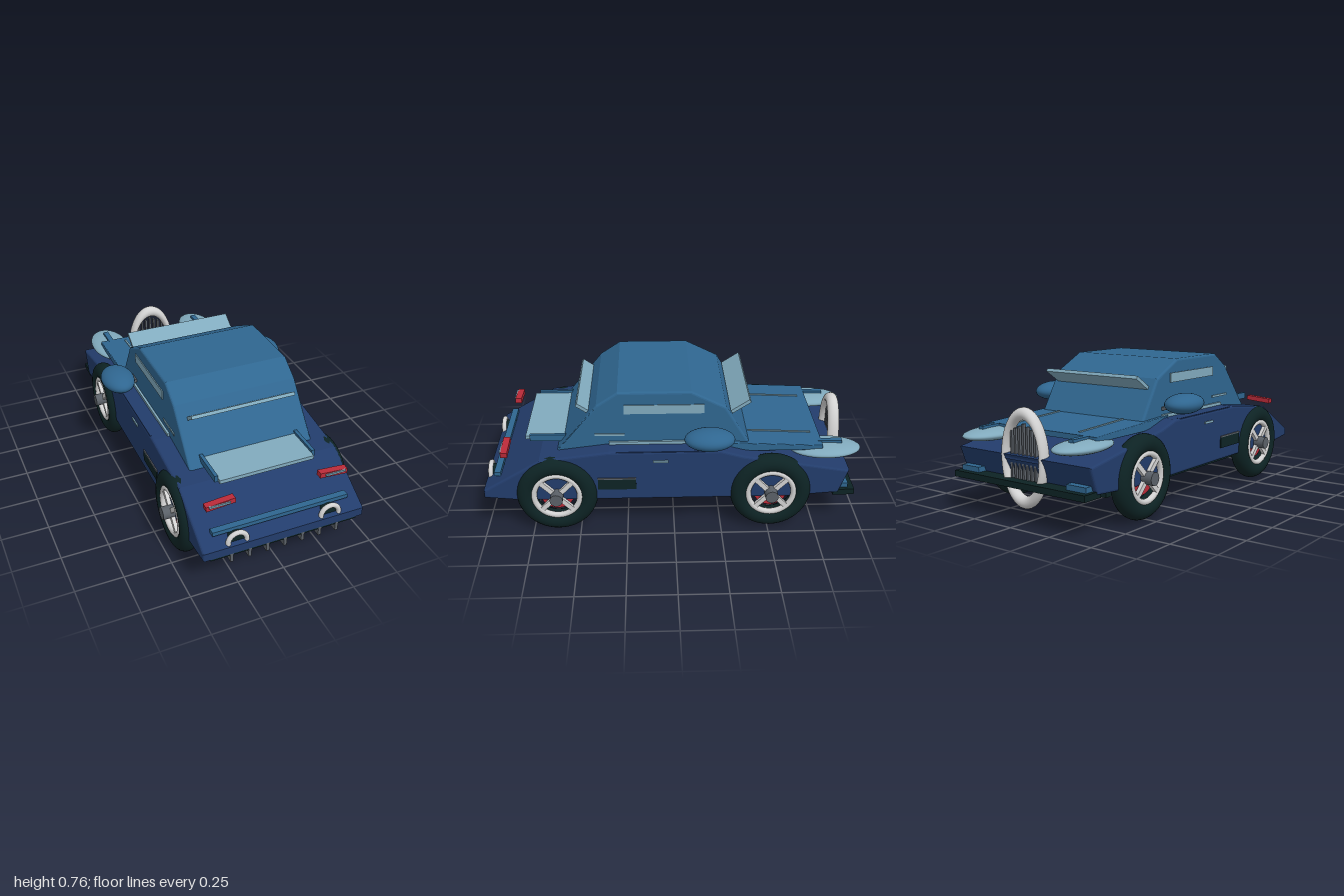
import * as THREE from 'three';

const mat = (name, color) => {
  const m = new THREE.MeshStandardMaterial({ color });
  m.name = name;
  return m;
};

export function createModel() {
  const navy = mat('navy paint', 0x223c6b);
  const blue = mat('blue paint', 0x2f6690);
  const pale = mat('pale blue', 0x81aabd);
  const black = mat('black rubber', 0x0d2324);
  const chrome = mat('chrome', 0xd2d2d2);
  const grey = mat('grey metal', 0x5b6168);
  const red = mat('red', 0xbb2b39);

  const car = new THREE.Group();
  car.name = 'car';

  function add(name, geometry, material, x = 0, y = 0, z = 0, parent = car) {
    const mesh = new THREE.Mesh(geometry, material);
    mesh.name = name;
    mesh.position.set(x, y, z);
    parent.add(mesh);
    return mesh;
  }
  const box = (name, m, w, h, d, x, y, z, parent) =>
    add(name, new THREE.BoxGeometry(w, h, d), m, x, y, z, parent);
  const ellipsoid = (name, m, rx, ry, rz, x, y, z) =>
    add(name, new THREE.SphereGeometry(1, 32, 20).scale(rx, ry, rz), m, x, y, z);

  // Side profile given as [z, y] points, extruded across the car's width
  function profile(name, m, points, width, bevel) {
    const shape = new THREE.Shape(points.map(([z, y]) => new THREE.Vector2(z, y)));
    const g = new THREE.ExtrudeGeometry(shape, {
      depth: width - 2 * bevel, bevelEnabled: true, bevelSize: bevel,
      bevelThickness: bevel, bevelOffset: -bevel, bevelSegments: 3,
    });
    g.translate(0, 0, bevel - width / 2).rotateY(-Math.PI / 2);
    return add(name, g, m);
  }

  // Lower body, cabin and hood
  profile('lowerBody', navy, [
    [1.0, 0.2], [1.0, 0.245], [0.7, 0.42], [0.34, 0.465], [-0.24, 0.465],
    [-0.36, 0.43], [-0.92, 0.335], [-0.87, 0.2], [-0.6, 0.18], [0.8, 0.18],
  ], 0.87, 0.012);
  profile('cabin', blue, [
    [0.62, 0.42], [0.4, 0.687], [0.29, 0.76], [-0.09, 0.76],
    [-0.27, 0.67], [-0.41, 0.44], [-0.41, 0.42],
  ], 0.68, 0.012);
  profile('hood', blue, [
    [-0.2, 0.475], [-0.39, 0.466], [-0.785, 0.447], [-0.785, 0.42], [-0.2, 0.42],
  ], 0.72, 0.004);
  box('underbody', black, 0.69, 0.05, 1.5, 0, 0.163, 0.05);

  // Raised glass panels
  const windshield = box('windshield', pale, 0.61, 0.018, 0.115, 0, 0.655, -0.35);
  windshield.rotation.x = 0.58;
  const rearWindow = box('rearWindow', pale, 0.57, 0.018, 0.075, 0, 0.645, 0.475);
  rearWindow.rotation.x = -0.6;

  // Rear deck wing, light strip, bumper and diffuser
  box('rearWing', pale, 0.51, 0.02, 0.215, 0, 0.461, 0.677);
  box('rearStrip', blue, 0.73, 0.022, 0.035, 0, 0.304, 0.932);
  box('rearBumper', black, 0.79, 0.05, 0.14, 0, 0.215, 0.928);
  for (let i = -3; i <= 3; i++) box('diffuserFin', grey, 0.016, 0.05, 0.14, i * 0.095, 0.175, 0.93);

  // Front bumper and oval grille
  box('frontBumper', black, 0.86, 0.032, 0.115, 0, 0.2, -0.9);
  const ring = add('grilleSurround', new THREE.TorusGeometry(0.218, 0.032, 20, 48), chrome, 0, 0.32, -0.89);
  ring.scale.set(0.57, 1, 1);
  for (let i = -3; i <= 3; i++) {
    box('grilleBar', grey, 0.012, 0.31 - Math.abs(i) * 0.025, 0.02, i * 0.026, 0.335, -0.895);
  }
  box('grilleCrossbar', navy, 0.22, 0.02, 0.03, 0, 0.32, -0.9);

  for (const s of [1, -1]) {
    // Front fenders and trim
    ellipsoid('fenderPod', pale, 0.108, 0.033, 0.19, s * 0.297, 0.403, -0.808);
    box('fenderRidge', blue, 0.03, 0.03, 0.15, s * 0.297, 0.433, -0.82);
    box('bumperLamp', blue, 0.12, 0.03, 0.05, s * 0.35, 0.228, -0.9);
    const line = box('hoodTrim', pale, 0.01, 0.01, 0.34, s * 0.217, 0.458, -0.57);
    line.rotation.x = -0.05;

    // Mirrors
    ellipsoid('mirror', blue, 0.089, 0.053, 0.13, s * 0.445, 0.542, -0.18);
    const stem = box('mirrorStem', grey, 0.07, 0.018, 0.07, s * 0.36, 0.515, -0.2);
    stem.rotation.z = s * 0.15;

    // Side glass, panels and trim
    box('sideWindow', pale, 0.012, 0.05, 0.415, s * 0.339, 0.665, 0.05);
    box('sillTrim', pale, 0.014, 0.016, 0.575, s * 0.345, 0.473, 0.052);
    box('quarterTrim', pale, 0.01, 0.012, 0.155, s * 0.34, 0.52, 0.335);
    box('doorPanel', navy, 0.026, 0.055, 0.5, s * 0.419, 0.438, 0.05);
    box('doorHandle', pale, 0.012, 0.012, 0.08, s * 0.436, 0.41, 0.072);
    box('sideVent', black, 0.012, 0.06, 0.2, s * 0.434, 0.275, 0.3);
    box('ventTrim', grey, 0.014, 0.008, 0.2, s * 0.434, 0.309, 0.3);

    // Wing end plates, tail lights and exhausts
    box('wingEndPlate', blue, 0.018, 0.036, 0.19, s * 0.264, 0.467, 0.665);
    const tail = box('tailLight', red, 0.152, 0.027, 0.036, s * 0.303, 0.431, 0.887);
    tail.rotation.z = -s * 0.08;
    box('tailLightStrip', pale, 0.11, 0.01, 0.012, s * 0.31, 0.435, 0.906);
    add('exhaustRing', new THREE.TorusGeometry(0.049, 0.013, 12, 28), chrome, s * 0.25, 0.256, 0.982);
    add('exhaustPipe', new THREE.CylinderGeometry(0.042, 0.042, 0.08, 24).rotateX(Math.PI / 2),
      black, s * 0.25, 0.256, 0.94);

    // Wheels, built facing +z and turned outward
    for (const z of [0.617, -0.51]) {
      const wheel = new THREE.Group();
      wheel.name = 'wheel';
      wheel.position.set(s * 0.414, 0.216, z);
      wheel.rotation.y = s * Math.PI / 2;
      car.add(wheel);
      add('tire', new THREE.TorusGeometry(0.164, 0.051, 20, 48), black, 0, 0, 0, wheel);
      add('rim', new THREE.TorusGeometry(0.121, 0.016, 10, 40), chrome, 0, 0, 0.03, wheel);
      add('brakeDisc', new THREE.CylinderGeometry(0.09, 0.09, 0.03, 28).rotateX(Math.PI / 2),
        red, 0, 0, -0.005, wheel);
      add('hub', new THREE.CylinderGeometry(0.034, 0.034, 0.1, 20).rotateX(Math.PI / 2),
        grey, 0, 0, 0.034, wheel);
      for (let i = 0; i < 4; i++) {
        const a = Math.PI / 4 + i * Math.PI / 2;
        const spoke = box('spoke', chrome, 0.095, 0.026, 0.02,
          Math.cos(a) * 0.075, Math.sin(a) * 0.075, 0.033, wheel);
        spoke.rotation.z = a;
      }
    }
  }
  return car;
}
